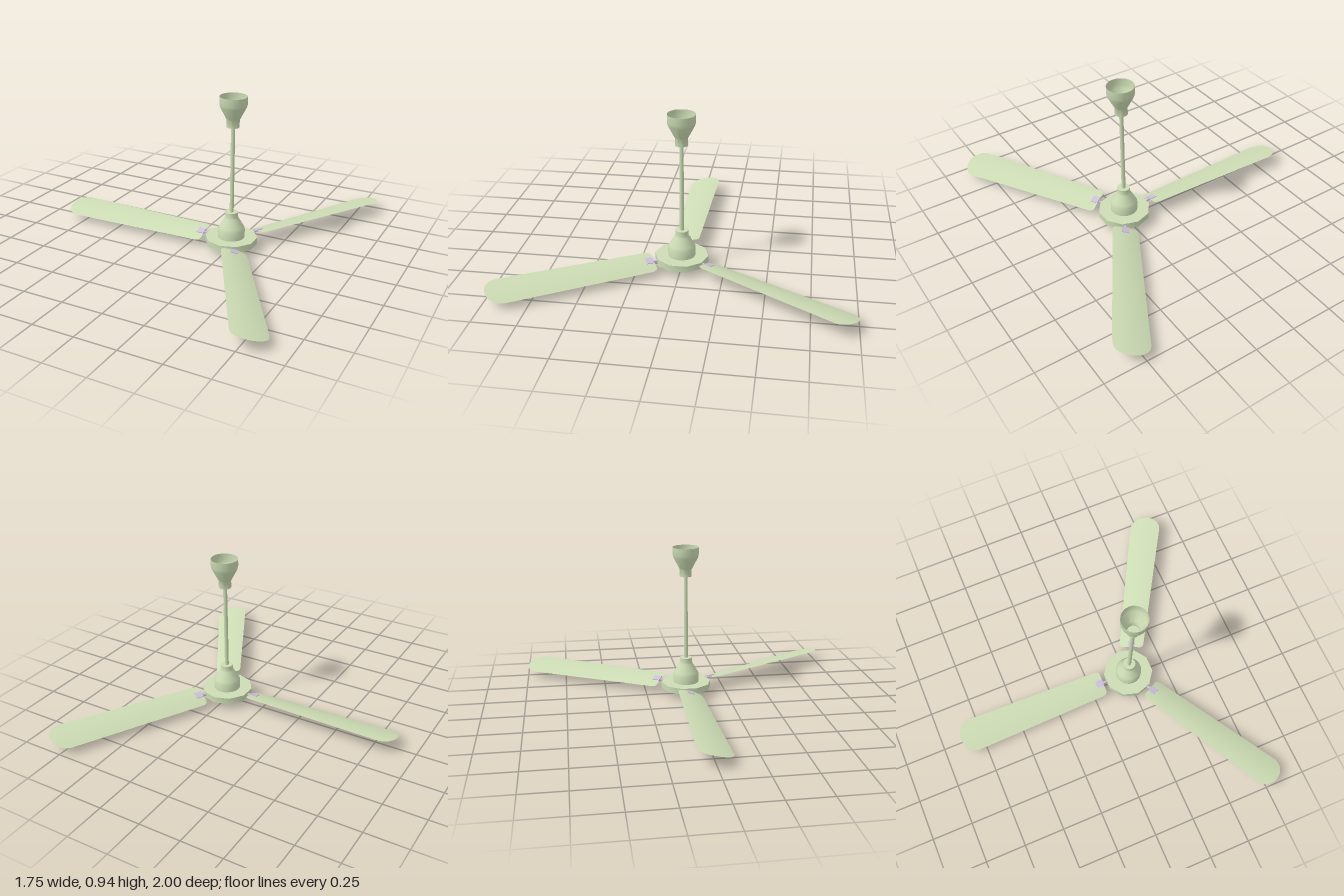
import * as THREE from 'three';
import { toCreasedNormals } from 'three/addons/utils/BufferGeometryUtils.js';

const paint = new THREE.MeshStandardMaterial({ color: 0xccdcb4, side: THREE.DoubleSide });
const metal = new THREE.MeshStandardMaterial({ color: 0xcdbfdb });

function add(parent, name, geometry, material = paint) {
  const mesh = new THREE.Mesh(geometry, material);
  mesh.name = name;
  parent.add(mesh);
  return mesh;
}

// Turned part from [radius, height] pairs, bottom to top
function turned(profile, sides) {
  const points = profile.map(([r, y]) => new THREE.Vector2(r, y));
  return toCreasedNormals(new THREE.LatheGeometry(points, sides), 0.68);
}

// Height of the pitched, cambered blade; s runs from the high edge (-1) to the low edge (1)
const bladeHeight = (s) => 0.063 - 0.0225 * s + 0.009 * (1 - s * s);

// Thin blade pointing along -x, with a rounded tip and softened root corners
function bladeGeometry() {
  const root = 0.175, tip = 1.135, tipRound = 0.085, rootRound = 0.03;
  const geo = new THREE.PlaneGeometry(2, 2, 32, 10).rotateX(-Math.PI / 2);
  const p = geo.attributes.position;
  for (let i = 0; i < p.count; i++) {
    const t = (1 + Math.sin(p.getX(i) * Math.PI / 2)) / 2; // 0 tip, 1 root
    const r = tip + (root - tip) * t;
    const nominal = 0.1 - 0.024 * t;
    const q = Math.max(0, (r - (tip - tipRound)) / tipRound);
    const k = Math.max(0, (root + rootRound - r) / rootRound);
    const round = Math.sqrt(Math.max(0, 1 - q * q))
      * (0.72 + 0.28 * Math.sqrt(Math.max(0, 1 - k * k)));
    const s = p.getZ(i) * round;
    p.setXYZ(i, -r, bladeHeight(s), s * nominal);
  }
  geo.computeVertexNormals();
  return geo;
}

export function createModel() {
  const model = new THREE.Group();
  model.name = 'ceilingFan';
  const fan = new THREE.Group();
  fan.name = 'fanAssembly';
  fan.position.x = 0.255;
  model.add(fan);

  // Motor housing: shallow dome below, flat disc above
  add(fan, 'motorHousing', turned([
    [0, 0], [0.05, 0.005], [0.1, 0.017], [0.155, 0.04], [0.155, 0.078], [0, 0.078],
  ], 10));

  // Bell cover between the housing and the rod
  add(fan, 'motorCover', turned([
    [0.08, 0.078], [0.08, 0.128], [0.072, 0.145], [0.041, 0.198],
    [0.038, 0.205], [0.038, 0.235], [0, 0.235],
  ], 20));

  add(fan, 'downRod', new THREE.CylinderGeometry(0.012, 0.012, 0.54, 12)).position.y = 0.495;

  // Ceiling canopy, an open cup
  add(fan, 'canopy', turned([
    [0, 0.755], [0.037, 0.755], [0.037, 0.8], [0.042, 0.808],
    [0.075, 0.872], [0.08, 0.89], [0.08, 0.935],
  ], 20));

  // Three blades, each with its bracket
  const blade = bladeGeometry();
  for (let i = 0; i < 3; i++) {
    const arm = new THREE.Group();
    arm.name = 'bladeArm';
    arm.rotation.y = i * Math.PI * 2 / 3;
    fan.add(arm);
    add(arm, 'blade', blade);

    const neck = add(arm, 'bracketNeck', new THREE.BoxGeometry(0.06, 0.01, 0.012), metal);
    neck.position.set(-0.165, 0.063, 0);
    neck.rotation.z = -0.12;

    const plate = add(arm, 'bracketPlate', new THREE.BoxGeometry(0.045, 0.01, 0.045), metal);
    plate.position.set(-0.198, 0.07, 0);
    plate.rotation.x = 0.29;
  }
  return model;
}
